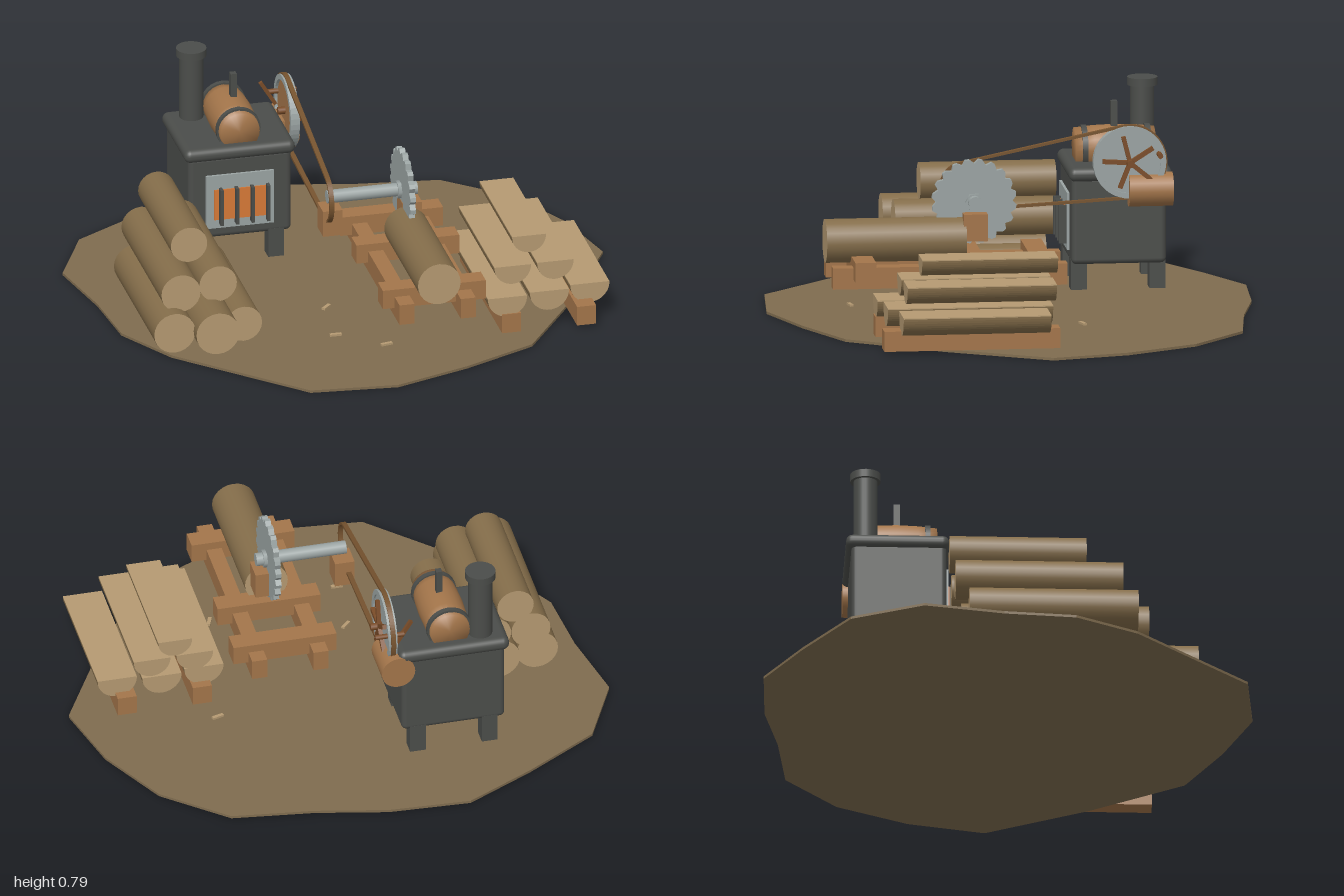
import * as THREE from 'three';
import { RoundedBoxGeometry } from 'three/addons/geometries/RoundedBoxGeometry.js';

const mat = (name, color) => {
  const m = new THREE.MeshStandardMaterial({ color });
  m.name = name;
  return m;
};

export function createModel() {
  const root = new THREE.Group();
  root.name = 'steamSawmill';
  const soil = mat('soil', 0x7f6c4f), bark = mat('bark', 0x846d4a), cutWood = mat('cutWood', 0xb59a72);
  const timber = mat('timber', 0xa3754a), iron = mat('iron', 0x4b4d4a), steel = mat('steel', 0x9ba4a3);
  const fire = mat('fire', 0xd87a38), leather = mat('leather', 0x76532f), spokeWood = mat('spokeWood', 0x7a4c28);

  const add = (name, geo, material, x = 0, y = 0, z = 0, parent = root) => {
    const m = new THREE.Mesh(geo, material);
    m.name = name;
    m.position.set(x, y, z);
    parent.add(m);
    return m;
  };
  // Box given by its limits on each axis
  const box = (name, material, x0, x1, y0, y1, z0, z1, round = 0) => {
    const s = [x1 - x0, y1 - y0, z1 - z0];
    const geo = round ? new RoundedBoxGeometry(...s, 3, round) : new THREE.BoxGeometry(...s);
    return add(name, geo, material, (x0 + x1) / 2, (y0 + y1) / 2, (z0 + z1) / 2);
  };
  const cylX = (r, len, n = 24) => new THREE.CylinderGeometry(r, r, len, n).rotateZ(Math.PI / 2);
  const cylZ = (r, len, n = 24) => new THREE.CylinderGeometry(r, r, len, n).rotateX(Math.PI / 2);
  // Extrudes a (z, y) outline along x, centred on x = 0
  const slabX = (shape, w) => new THREE.ExtrudeGeometry(shape, { depth: w, bevelEnabled: false, curveSegments: 20 })
    .translate(0, 0, -w / 2).rotateY(-Math.PI / 2);

  // Ground patch
  const edge = [[-.33, -.925], [-.02, -.91], [.25, -.85], [.56, -.81], [.79, -.61], [.93, -.34], [1, -.05],
    [.79, .33], [.55, .68], [.27, .81], [-.02, .91], [-.35, .88], [-.78, .455], [-.915, .22], [-.94, -.05],
    [-1, -.35], [-.87, -.62], [-.59, -.79]];
  const ground = new THREE.Shape(edge.map(([x, z]) => new THREE.Vector2(x, -z)));
  add('ground', new THREE.ExtrudeGeometry(ground, { depth: .01, bevelEnabled: false }).rotateX(-Math.PI / 2), soil);

  // Boiler body, top slab and legs
  box('boilerBody', iron, -.54, -.145, .135, .47, -.605, -.25, .02);
  box('boilerTop', iron, -.555, -.13, .45, .503, -.625, -.24, .025);
  for (const x of [-.51, -.235])
    for (const z of [-.605, -.31]) box('boilerLeg', iron, x, x + .06, .035, .15, z, z + .06);

  // Firebox door with a glowing opening and bars
  box('fireboxFrame', steel, -.475, -.215, .18, .395, -.26, -.24);
  box('fireOpening', fire, -.445, -.24, .215, .338, -.241, -.236);
  for (let i = 0; i < 4; i++) box('fireBar', iron, -.427 + i * .06, -.415 + i * .06, .2, .345, -.24, -.212);

  // Chimney
  add('chimney', new THREE.CylinderGeometry(.045, .045, .27, 24), iron, -.457, .63, -.55);
  add('chimneyCap', new THREE.CylinderGeometry(.057, .057, .03, 24), iron, -.457, .77, -.55);

  // Wooden steam barrel with hoops and valve
  const barrelProfile = [[0, -.15], [.075, -.15], [.082, -.08], [.085, 0], [.082, .08], [.075, .15], [0, .15]]
    .map(p => new THREE.Vector2(...p));
  add('barrel', new THREE.LatheGeometry(barrelProfile, 24).rotateX(Math.PI / 2), timber, -.335, .545, -.43);
  for (const z of [-.553, -.315]) add('barrelHoop', cylZ(.085, .02), iron, -.335, .545, z);
  box('barrelValve', iron, -.338, -.315, .62, .722, -.44, -.416);

  // Drive wheel with spokes on its outer face
  const wheel = new THREE.Group();
  wheel.name = 'driveWheel';
  wheel.position.set(-.112, .53, -.462);
  root.add(wheel);
  const rim = new THREE.Shape().absarc(0, 0, .137, 0, Math.PI * 2);
  rim.holes.push(new THREE.Path().absarc(0, 0, .117, 0, Math.PI * 2, true));
  add('wheelRim', slabX(rim, .034), steel, 0, 0, 0, wheel);
  add('wheelDisc', cylX(.118, .012, 32), steel, .004, 0, 0, wheel);
  add('wheelBack', cylX(.116, .004, 32), timber, -.005, 0, 0, wheel);
  for (let i = 0; i < 5; i++) {
    const a = i * Math.PI * .4 + .25;
    const s = add('wheelSpoke', new THREE.BoxGeometry(.016, .095, .016).translate(0, .055, 0), spokeWood, .022, 0, 0, wheel);
    s.rotation.x = a;
  }
  add('wheelAxle', cylX(.014, .09, 10), spokeWood, .01, 0, 0, wheel);
  const rod = add('crankRod', new THREE.BoxGeometry(.014, .11, .014), spokeWood, -.048, .03, -.1, wheel);
  rod.rotation.z = .55;
  add('crankPin', cylX(.01, .11, 10), spokeWood, .008, .03, -.11, wheel);

  // Steam piston cylinder
  add('pistonCylinder', cylZ(.064, .165), timber, -.126, .422, -.542);

  // Drive belt running round the wheel and the saw shaft
  const loop = (Type, off) => {
    const r1 = .137 + off, r2 = .09 + off, dz = .617, dy = -.08;
    const a = Math.atan2(dy, dz), b = Math.acos((r1 - r2) / Math.hypot(dz, dy));
    return new Type().absarc(-.462, .53, r1, a + b, a - b + Math.PI * 2).absarc(.155, .45, r2, a - b, a + b);
  };
  const belt = loop(THREE.Shape, .005);
  belt.holes.push(loop(THREE.Path, -.005));
  add('driveBelt', slabX(belt, .018), leather, -.113);

  // Saw shaft, toothed blade and hub
  add('sawShaft', cylX(.025, .345, 16), steel, .062, .452, .155);
  const blade = new THREE.Shape();
  const teeth = 20;
  for (let i = 0; i < teeth; i++) {
    const a = i / teeth * Math.PI * 2;
    for (const [da, r] of [[0, .143], [.1, .16], [.2, .158]])
      blade[i + da === 0 ? 'moveTo' : 'lineTo'](Math.cos(a + da) * r, Math.sin(a + da) * r);
  }
  blade.closePath();
  add('sawBlade', slabX(blade, .022), steel, .183, .452, .155);
  add('sawHub', cylX(.034, .05, 6), steel, .183, .452, .155);
  for (const x of [-.135, .17]) box('shaftBearing', timber, x, x + .075, .31, .412, .11, .2);

  // Saw bench: two rails and three cross beams
  for (const x of [.035, .27]) box('benchRail', timber, x, x + .058, .155, .235, -.18, .7);
  for (const z of [-.12, .132, .545]) box('benchBeam', timber, -.01, .385, .19, .265, z, z + .078);

  // Round logs: x, y, radius, back z, front z
  const logs = [[.184, .313, .082, .19, .715], [-.767, .099, .079, -.175, .455], [-.612, .1, .083, -.2, .5],
    [-.49, .085, .07, -.17, .405], [-.73, .233, .075, -.225, .4], [-.58, .243, .072, -.235, .37],
    [-.666, .366, .07, -.245, .265]];
  for (const [x, y, r, z0, z1] of logs)
    add('log', cylZ(r, z1 - z0), [bark, cutWood, cutWood], x, y, (z0 + z1) / 2);

  // Split half logs, flat side up: x, top y, radius, back z, front z
  const halves = [[.484, .152, .075, -.06, .56], [.65, .152, .075, -.08, .54], [.815, .147, .075, -.055, .5],
    [.525, .238, .07, -.085, .475], [.69, .238, .07, -.09, .47], [.605, .323, .065, -.105, .405]];
  for (const [x, y, r, z0, z1] of halves) {
    const half = new THREE.Shape().absarc(0, 0, r, Math.PI, Math.PI * 2);
    const geo = new THREE.ExtrudeGeometry(half, { depth: z1 - z0, bevelEnabled: false, curveSegments: 12 });
    add('halfLog', geo, [cutWood, bark], x, y, z0);
    box('halfLogCutFace', cutWood, x - r, x + r, y - .001, y + .003, z0, z1);
  }
  for (const x of [.462, .75]) box('stackSupport', timber, x, x + .073, .012, .088, -.095, .565);

  // Wood chips
  for (const [x, z, turn] of [[.47, -.22, .3], [-.155, .475, 0], [.36, .37, 1.2], [-.13, .23, .8], [.01, .6, .2]]) {
    const chip = add('woodChip', new THREE.BoxGeometry(.045, .008, .014), cutWood, x, .035, z);
    chip.rotation.y = turn;
  }
  return root;
}
